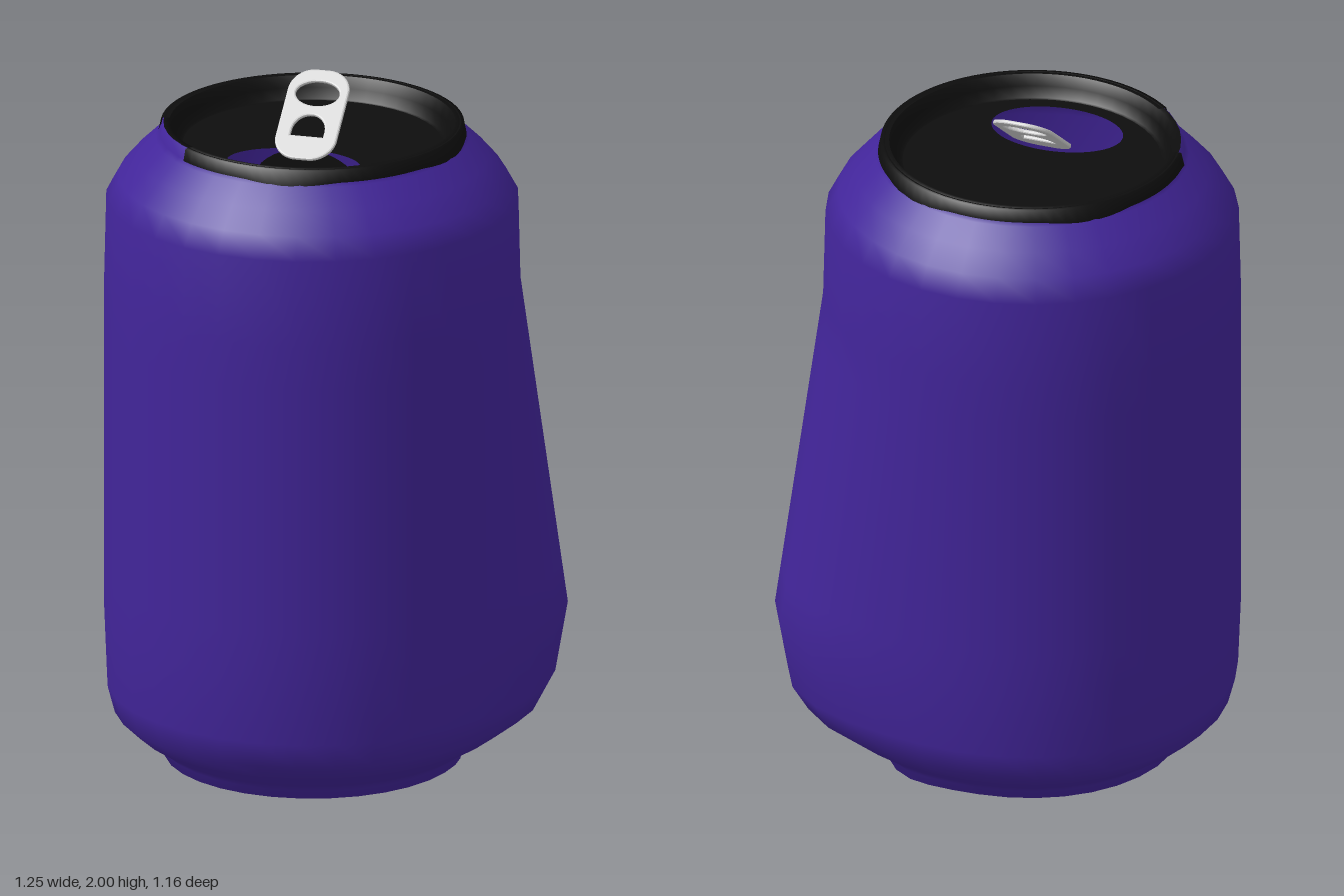
import * as THREE from 'three';
import { mergeVertices } from 'three/addons/utils/BufferGeometryUtils.js';

const AXIS_X = -0.045;
const rad = THREE.MathUtils.degToRad;
const bell = (a, centre, width) => Math.exp(-0.5 * ((a - centre) / width) ** 2);
const points = (list) => list.map(([x, y]) => new THREE.Vector2(x, y));

// Piecewise linear height curve for the strength of the side bulge
const bulgeCurve = [[0.07, 0], [0.11, 0.25], [0.17, 0.6], [0.25, 0.8], [0.45, 1], [1.42, 0]];
function bulgeAt(y) {
  for (let i = 1; i < bulgeCurve.length; i++) {
    const [y0, v0] = bulgeCurve[i - 1], [y1, v1] = bulgeCurve[i];
    if (y >= y0 && y <= y1) return v0 + (v1 - v0) * (y - y0) / (y1 - y0);
  }
  return 0;
}

// Turned shell, pushed out on one side and dipped at the foot below the bulge
function bodyGeometry() {
  const wall = [];
  for (let i = 0; i <= 8; i++) wall.push([0.58, 0.45 + i * 0.121]);
  const profile = points([
    [0, 0.2], [0.2, 0.175], [0.33, 0.12], [0.39, 0.06], [0.4, 0.04], [0.412, 0.04],
    [0.418, 0.065], [0.44, 0.085], [0.5, 0.125], [0.552, 0.175], [0.572, 0.25],
    ...wall, [0.574, 1.67], [0.54, 1.732], [0.49, 1.79], [0.436, 1.842],
    [0.424, 1.853], [0.417, 1.885], [0.4, 1.885],
  ]);
  let geo = new THREE.LatheGeometry(profile, 32);
  geo.deleteAttribute('uv');
  geo.deleteAttribute('normal');
  const p = geo.attributes.position;
  for (let i = 0; i < p.count; i++) {
    const x = p.getX(i), y = p.getY(i), z = p.getZ(i), r = Math.hypot(x, z);
    if (r < 0.35) continue;
    const angle = THREE.MathUtils.radToDeg(Math.atan2(z, x));
    const k = r > 0.415 ? 1 + 0.14 * bulgeAt(y) * bell(angle, -29, 22) / r : 1;
    const dip = y < 0.15 ? 0.04 * bell(angle, -43, 20) * (1 - Math.max(0, y - 0.06) / 0.09) : 0;
    p.setXYZ(i, x * k, y - dip, z * k);
  }
  geo = mergeVertices(geo, 1e-4);
  geo.computeVertexNormals();
  return geo;
}

// Rim paint with an uneven lower edge and a gap on one side
function rimGeometry() {
  const geo = new THREE.LatheGeometry(
    points([[0.428, 1.851], [0.421, 1.886], [0.397, 1.887]]), 72, rad(-41), rad(322));
  const p = geo.attributes.position;
  for (let i = 0; i < p.count; i++) {
    if (p.getY(i) > 1.86) continue;
    const a = Math.atan2(p.getZ(i), p.getX(i));
    const drip = Math.max(0, Math.sin(a * 5 + 0.6)) * 0.008;
    const grow = 1 + drip * 1.5;
    p.setXYZ(i, p.getX(i) * grow, p.getY(i) - drip, p.getZ(i) * grow);
  }
  geo.computeVertexNormals();
  return geo;
}

function roundedRect(w, h, r) {
  const s = new THREE.Shape();
  s.absarc(w - r, h - r, r, 0, Math.PI / 2);
  s.absarc(r - w, h - r, r, Math.PI / 2, Math.PI);
  s.absarc(r - w, r - h, r, Math.PI, Math.PI * 1.5);
  s.absarc(w - r, r - h, r, Math.PI * 1.5, Math.PI * 2);
  s.closePath();
  return s;
}

// Flat pull ring with an oval finger hole and a half-round hole
function tabGeometry() {
  const shape = roundedRect(0.083, 0.145, 0.065);
  const finger = new THREE.Path();
  finger.absellipse(0, 0.07, 0.068, 0.046, 0, Math.PI * 2, true);
  const half = new THREE.Path();
  half.moveTo(-0.052, -0.078);
  half.lineTo(-0.052, -0.06);
  half.absellipse(0, -0.055, 0.052, 0.058, Math.PI, 0, true);
  half.lineTo(0.052, -0.078);
  half.closePath();
  shape.holes.push(finger, half);
  const geo = new THREE.ExtrudeGeometry(shape, {
    depth: 0.004, bevelEnabled: true, bevelSize: 0.005, bevelThickness: 0.004,
    bevelSegments: 2, curveSegments: 12,
  });
  return geo.translate(0, 0, -0.002);
}

export function createModel() {
  const purple = new THREE.MeshStandardMaterial({ color: 0x42259a, side: THREE.DoubleSide });
  purple.name = 'purple paint';
  const black = new THREE.MeshStandardMaterial({ color: 0x0d0d0d, side: THREE.DoubleSide });
  black.name = 'black lid';
  const silver = new THREE.MeshStandardMaterial({ color: 0xd2d2d2 });
  silver.name = 'silver metal';

  const model = new THREE.Group();
  model.name = 'dentedCan';
  const add = (name, geometry, material, x = AXIS_X, y = 0, z = 0) => {
    const mesh = new THREE.Mesh(geometry, material);
    mesh.name = name;
    mesh.position.set(x, y, z);
    model.add(mesh);
    return mesh;
  };

  add('body', bodyGeometry(), purple);
  add('rimBand', rimGeometry(), black);

  // Step from the rim down to the lid
  add('lidEdge', new THREE.LatheGeometry(points([
    [0.414, 1.8865], [0.398, 1.8865], [0.385, 1.855], [0.37, 1.826], [0.355, 1.825],
  ]), 48), black);

  // Lid panel with the drinking hole
  const lid = new THREE.Shape();
  lid.absarc(0, 0, 0.36, 0, Math.PI * 2);
  const hole = new THREE.Path();
  hole.absellipse(0, -0.192, 0.19, 0.128, 0, Math.PI * 2, true);
  lid.holes.push(hole);
  add('lidPanel', new THREE.ShapeGeometry(lid, 32).rotateX(-Math.PI / 2), black, AXIS_X, 1.826, 0);

  // Opened flap hanging inside, behind the hole
  const flap = new THREE.Shape();
  flap.absellipse(0, -0.12, 0.16, 0.12, 0, Math.PI * 2);
  add('flap', new THREE.ShapeGeometry(flap, 20), black, AXIS_X, 1.824, 0.06);

  // Raised pull tab and its rivet
  const tab = add('pullTab', tabGeometry(), silver, AXIS_X, 1.905, 0);
  tab.rotation.x = rad(-52.5);

  return model;
}
